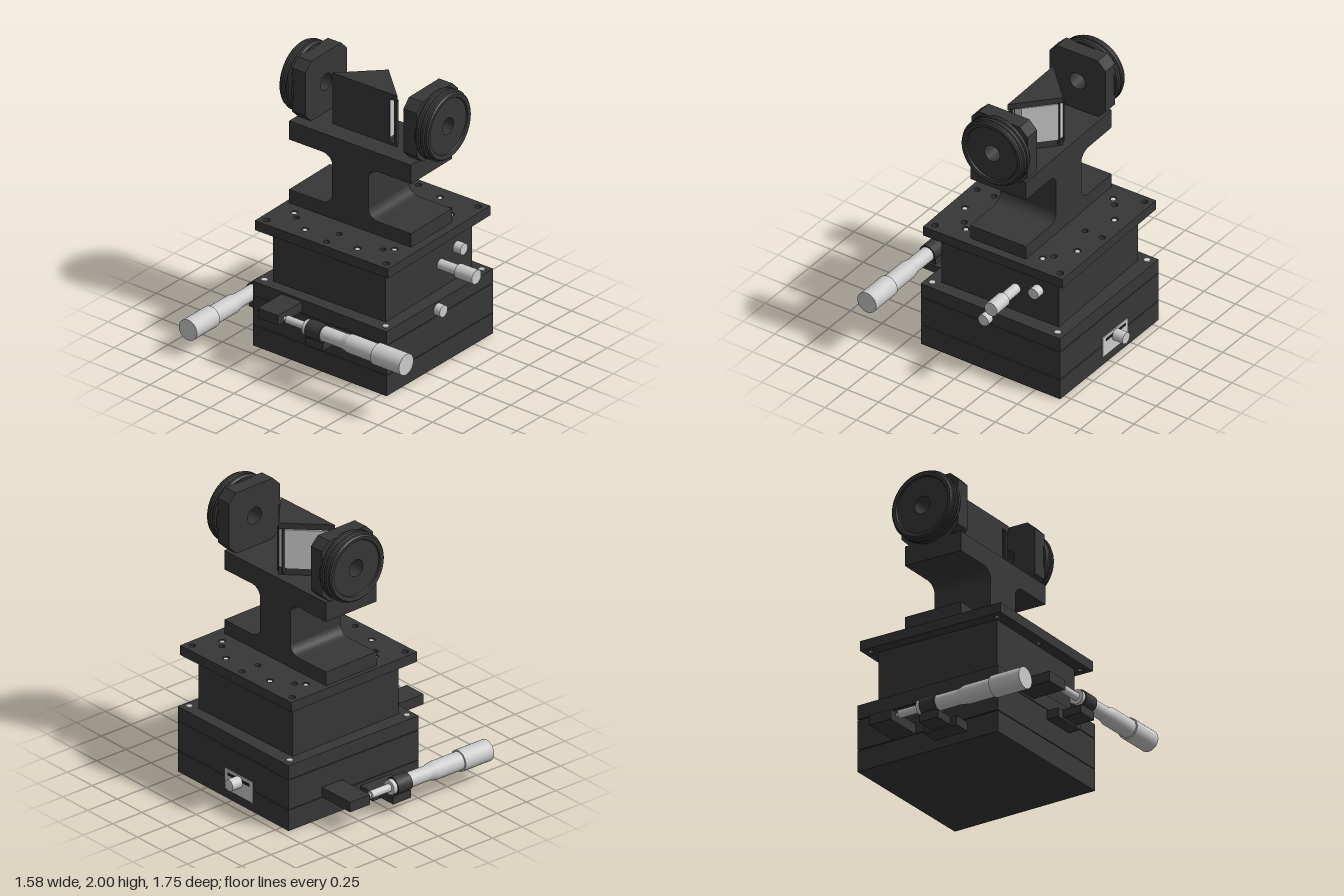
import * as THREE from 'three';

const dark = new THREE.MeshStandardMaterial({ color: 0x373737 });
const grey = new THREE.MeshStandardMaterial({ color: 0xcccccc });
const thinGrey = new THREE.MeshStandardMaterial({ color: 0xcccccc, flatShading: true });
const black = new THREE.MeshStandardMaterial({ color: 0x1c1c1c });

function add(parent, name, geometry, material = dark) {
  const mesh = new THREE.Mesh(geometry, material);
  mesh.name = name;
  parent.add(mesh);
  return mesh;
}

// Box given by its limits on each axis
function box(parent, name, [x0, x1], [y0, y1], [z0, z1], material = dark) {
  const m = add(parent, name, new THREE.BoxGeometry(x1 - x0, y1 - y0, z1 - z0), material);
  m.position.set((x0 + x1) / 2, (y0 + y1) / 2, (z0 + z1) / 2);
  return m;
}

// Cylinder from one end along an axis
function rod(parent, name, axis, [x, y, z], r, length, material = grey, rEnd = r) {
  const g = new THREE.CylinderGeometry(rEnd, r, length, 32);
  g.translate(0, length / 2, 0);
  if (axis === 'x') g.rotateZ(-Math.PI / 2);
  if (axis === 'z') g.rotateX(Math.PI / 2);
  const m = add(parent, name, g, material);
  m.position.set(x, y, z);
  return m;
}

const polygon = (pts) => new THREE.Shape(pts.map(([a, b]) => new THREE.Vector2(a, b)));

function punch(shape, x, y, r) {
  const hole = new THREE.Path();
  hole.absarc(x, y, r, 0, Math.PI * 2, true);
  shape.holes.push(hole);
}

// Horizontal slab from an outline in x and z
function slab(parent, name, shape, y, height, material = dark) {
  const g = new THREE.ExtrudeGeometry(shape, { depth: height, bevelEnabled: false, curveSegments: 12 });
  g.rotateX(-Math.PI / 2);
  const m = add(parent, name, g, material);
  m.position.y = y;
  return m;
}

// Micrometer along +x with its clamp and anvil, axis at the group origin
function micrometer(name) {
  const g = new THREE.Group();
  g.name = name;
  rod(g, 'thimble', 'x', [-0.79, 0, 0], 0.075, 0.24);
  rod(g, 'sleeve', 'x', [-0.55, 0, 0], 0.064, 0.22);
  rod(g, 'sleeveTaper', 'x', [-0.33, 0, 0], 0.064, 0.05, grey, 0.052);
  rod(g, 'barrel', 'x', [-0.28, 0, 0], 0.052, 0.32);
  rod(g, 'spindle', 'x', [0.04, 0, 0], 0.027, 0.16);
  rod(g, 'spindleTip', 'x', [0.2, 0, 0], 0.013, 0.025);
  rod(g, 'clampRing', 'x', [-0.11, 0, 0], 0.062, 0.12, dark);
  box(g, 'clampFoot', [-0.105, 0.01], [-0.115, -0.02], [-0.03, 0.065]);
  box(g, 'clampArm', [-0.12, 0.03], [-0.115, -0.06], [-0.03, 0.12]);
  box(g, 'clampBase', [-0.17, 0.085], [-0.128, -0.064], [0.11, 0.24]);
  box(g, 'anvil', [0.24, 0.41], [-0.04, 0.032], [-0.045, 0.24]);
  return g;
}

// Ringed aperture on a chamfered block, facing +z
function apertureMount(name) {
  const g = new THREE.Group();
  g.name = name;
  const h = 0.22, c = 0.16;
  const shape = polygon([[-h, -c], [-c, -h], [c, -h], [h, -c], [h, c], [c, h], [-c, h], [-h, c]]);
  punch(shape, 0, 0, 0.06);
  add(g, 'mountBlock', new THREE.ExtrudeGeometry(shape, { depth: 0.11, bevelEnabled: false, curveSegments: 24 }));
  const profile = [
    [0.06, 0.1], [0.06, 0.195], [0.195, 0.195], [0.2, 0.205], [0.225, 0.21], [0.235, 0.2],
    [0.235, 0.183], [0.245, 0.178], [0.245, 0.157], [0.236, 0.152], [0.236, 0.146],
    [0.245, 0.141], [0.245, 0.12], [0.235, 0.11], [0.235, 0.1], [0.06, 0.1],
  ].reverse();
  // Doubled points keep the ring edges sharp
  const pts = profile.flatMap(([r, y]) => [new THREE.Vector2(r, y), new THREE.Vector2(r, y)]);
  const ring = new THREE.LatheGeometry(pts, 48).toNonIndexed();
  ring.rotateX(Math.PI / 2);
  add(g, 'apertureRing', ring, new THREE.MeshStandardMaterial({ color: 0x373737, flatShading: true, side: THREE.DoubleSide }));
  return g;
}

export function createModel() {
  const model = new THREE.Group();
  model.name = 'opticalStage';

  // Stacked base with thin gaps between layers
  for (const [name, y0, y1] of [['lowerBase', 0, 0.15], ['middleBase', 0.155, 0.369], ['upperBase', 0.374, 0.475]])
    box(model, name, [-0.41, 0.695], [y0, y1], [-0.567, 0.545]);
  box(model, 'baseCore', [-0.2, 0.5], [0.1, 0.42], [-0.35, 0.33]);
  for (const x of [-0.355, 0.64])
    for (const z of [-0.515, 0.495]) rod(model, 'baseScrew', 'y', [x, 0.47, z], 0.022, 0.012);

  // Two linear drives on adjacent sides
  const backDrive = micrometer('backMicrometer');
  backDrive.position.set(0, 0.192, -0.803);
  const sideDrive = micrometer('sideMicrometer');
  sideDrive.position.set(-0.61, 0.427, 0.08);
  sideDrive.rotation.y = Math.PI / 2;
  model.add(backDrive, sideDrive);

  // Locking plate and knobs
  box(model, 'lockPlate', [0.69, 0.702], [0.065, 0.215], [-0.212, 0.07], grey);
  box(model, 'lockSlot', [0.695, 0.704], [0.174, 0.194], [-0.185, 0.035], black);
  rod(model, 'lockNeck', 'x', [0.68, 0.168, -0.073], 0.02, 0.03);
  rod(model, 'lockKnob', 'x', [0.7, 0.168, -0.073], 0.041, 0.085);
  rod(model, 'frontLockKnob', 'z', [0.12, 0.42, 0.54], 0.041, 0.055);

  // Everything above the base is turned slightly
  const top = new THREE.Group();
  top.name = 'rotatedStage';
  top.position.set(0.14, 0, -0.013);
  top.rotation.y = 0.022;
  model.add(top);

  box(top, 'rotationBody', [-0.46, 0.46], [0.475, 0.86], [-0.46, 0.46]);
  rod(top, 'fineStem', 'z', [0.125, 0.653, 0.45], 0.036, 0.165);
  rod(top, 'fineKnob', 'z', [0.125, 0.653, 0.61], 0.05, 0.145);
  rod(top, 'clampKnob', 'z', [0.298, 0.707, 0.45], 0.04, 0.07);

  // Drilled top plate with a ring of screws
  const e = 0.545;
  const plate = polygon([[-e, -e], [e, -e], [e, e], [-e, e]]);
  for (const sx of [-1, 1]) {
    for (const sy of [-1, 1]) {
      punch(plate, sx * 0.49, sy * 0.49, 0.023);
      punch(plate, sx * 0.35, sy * 0.355, 0.021);
      for (const [px, pz] of [[0.3, 0.41], [0.44, 0.215]]) {
        punch(plate, sx * px, sy * pz, 0.023);
        rod(top, 'plateScrew', 'y', [sx * px, 0.86, sy * pz], 0.017, 0.065);
      }
    }
    punch(plate, sx * 0.355, 0, 0.021);
    punch(plate, sx * 0.49, 0, 0.021);
  }
  slab(top, 'topPlate', plate, 0.86, 0.07);

  // I-shaped pedestal with filleted web, drawn in z and y
  const beam = new THREE.Shape();
  beam.moveTo(-0.515, 0.93);
  beam.lineTo(0.483, 0.93);
  beam.lineTo(0.483, 1.03);
  beam.lineTo(0.205, 1.03);
  beam.quadraticCurveTo(0.15, 1.035, 0.132, 1.09);
  beam.lineTo(0.132, 1.34);
  beam.quadraticCurveTo(0.15, 1.39, 0.205, 1.397);
  beam.lineTo(0.483, 1.397);
  beam.lineTo(0.483, 1.535);
  beam.lineTo(-0.515, 1.535);
  beam.lineTo(-0.515, 1.397);
  beam.lineTo(-0.237, 1.397);
  beam.quadraticCurveTo(-0.182, 1.39, -0.164, 1.34);
  beam.lineTo(-0.164, 1.09);
  beam.quadraticCurveTo(-0.182, 1.035, -0.237, 1.03);
  beam.lineTo(-0.515, 1.03);
  const beamGeometry = new THREE.ExtrudeGeometry(beam, { depth: 0.435, bevelEnabled: false, curveSegments: 8 });
  beamGeometry.rotateY(-Math.PI / 2);
  beamGeometry.translate(0.2175, 0, 0);
  add(top, 'pedestal', beamGeometry);

  // Facing pair of aperture mounts
  for (const s of [1, -1]) {
    const mount = apertureMount(s > 0 ? 'frontAperture' : 'backAperture');
    mount.position.set(0.028, 1.755, s * 0.4);
    if (s < 0) mount.rotation.y = Math.PI;
    top.add(mount);
  }

  // Right-angle mirror between dark triangular caps
  const cap = polygon([[-0.075, -0.263], [0.18, 0.007], [-0.075, 0.27]]);
  const foot = polygon([[-0.075, -0.195], [-0.01, -0.195], [0.18, 0.007], [-0.075, 0.27]]);
  const prism = polygon([[-0.06, -0.195], [-0.01, -0.195], [0.165, -0.015], [0.165, 0.03], [-0.06, 0.27]]);
  slab(top, 'mirrorCap', cap, 1.868, 0.042);
  slab(top, 'mirrorFoot', foot, 1.535, 0.05);
  slab(top, 'mirrorFootPlate', cap, 1.535, 0.02);
  slab(top, 'mirrorPrism', prism, 1.585, 0.28, thinGrey);
  box(top, 'mirrorBack', [-0.075, -0.06], [1.55, 1.87], [-0.268, 0.195]);
  box(top, 'mirrorEndPost', [-0.075, -0.05], [1.55, 1.87], [0.235, 0.252]);
  for (const z of [-0.038, 0.006]) box(top, 'mirrorApexPost', [0.15, 0.169], [1.55, 1.87], [z, z + 0.014]);

  return model;
}
